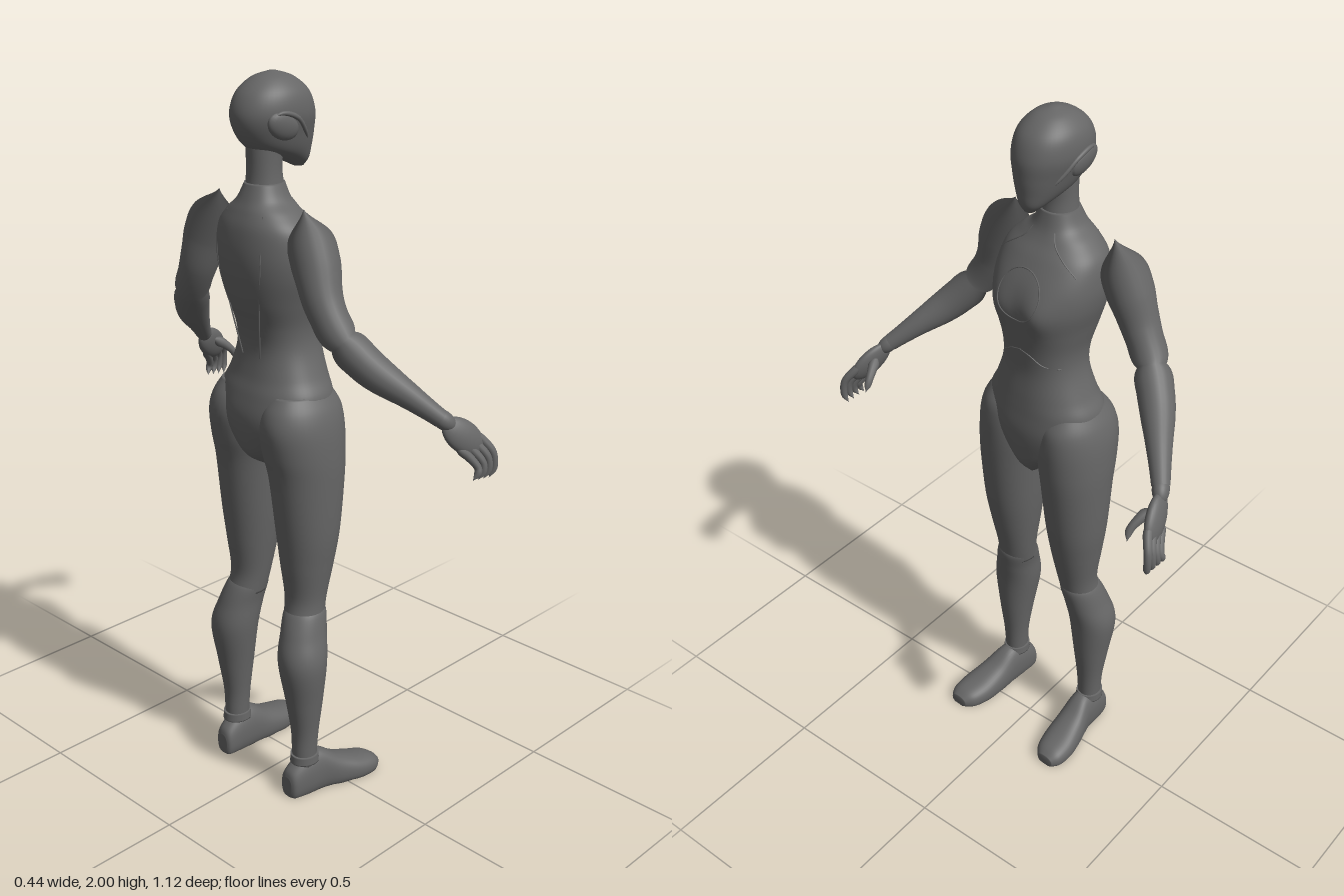
import * as THREE from 'three';

const grey = new THREE.MeshStandardMaterial({ color: 0x666666 });
grey.name = 'matteGrey';

const V = (p) => new THREE.Vector3(...p);

// Catmull-Rom through rows of numbers
function sample(rows, t) {
  const f = t * (rows.length - 1), i = Math.min(Math.floor(f), rows.length - 2), u = f - i;
  const at = (k) => rows[Math.max(0, Math.min(rows.length - 1, k))];
  const [a, b, c, d] = [at(i - 1), at(i), at(i + 1), at(i + 2)];
  return b.map((_, k) => 0.5 * (2 * b[k] + (c[k] - a[k]) * u
    + (2 * a[k] - 5 * b[k] + 4 * c[k] - d[k]) * u * u
    + (3 * b[k] - a[k] - 3 * c[k] + d[k]) * u * u * u));
}

// Closed skin over cross-sections [h, a0, a1, b0, b1]; axis 'y': a = x, b = z; axis 'x': a = y, b = z
function loft(rows, { axis = 'y', n = 2, steps = 6, seg = 40, rule = null } = {}) {
  const rings = (rows.length - 1) * steps, pos = [], idx = [];
  const pw = (v) => Math.sign(v) * Math.pow(Math.abs(v), 2 / n);
  for (let i = -1; i <= rings + 1; i++) {
    const [h, a0, a1, b0, b1] = sample(rows, Math.max(0, Math.min(1, i / rings)));
    const s = i < 0 || i > rings ? 0 : 0.5;
    for (let j = 0; j < seg; j++) {
      const t = (j / seg) * Math.PI * 2;
      const a = (a0 + a1) / 2 + (a1 - a0) * s * pw(Math.cos(t));
      const b = (b0 + b1) / 2 + (b1 - b0) * s * pw(Math.sin(t));
      const p = axis === 'y' ? [a, h, b] : [h, Math.max(0, a), b];
      if (rule) rule(p);
      pos.push(...p);
    }
  }
  for (let i = 0; i < rings + 2; i++) for (let j = 0; j < seg; j++) {
    const p = i * seg + j, q = i * seg + (j + 1) % seg, r = p + seg, s = q + seg;
    if (axis === 'y') idx.push(p, r, s, p, s, q);
    else idx.push(p, s, r, p, q, s);
  }
  const g = new THREE.BufferGeometry();
  g.setAttribute('position', new THREE.Float32BufferAttribute(pos, 3));
  g.setIndex(idx);
  g.computeVertexNormals();
  return g;
}

// Tube whose radius follows a list of values along its length
function limb(points, radii, seg = 24, closed = false) {
  const curve = new THREE.CatmullRomCurve3(points.map(V), closed);
  const len = points.length * 8;
  const g = new THREE.TubeGeometry(curve, len, 1, seg, closed);
  const p = g.attributes.position, nm = g.attributes.normal, c = new THREE.Vector3();
  for (let i = 0; i < p.count; i++) {
    const u = Math.floor(i / (seg + 1)) / len;
    curve.getPointAt(closed ? u % 1 : u, c);
    const r = Math.max(0, sample(radii.map((v) => [v]), u)[0]);
    p.setXYZ(i, c.x + nm.getX(i) * r, c.y + nm.getY(i) * r, c.z + nm.getZ(i) * r);
  }
  return g;
}

// Ellipsoid along three given axes
function ellipsoid(center, along, across, thick) {
  const d = V(along), a = V(across), t = d.clone().cross(a).normalize().multiplyScalar(thick);
  const g = new THREE.SphereGeometry(1, 24, 16);
  g.applyMatrix4(new THREE.Matrix4().makeBasis(d, a, t).setPosition(V(center)));
  return g;
}

function mirrored(geo) {
  const g = geo.clone().scale(1, 1, -1), ix = g.index.array;
  for (let i = 0; i < ix.length; i += 3) [ix[i], ix[i + 1]] = [ix[i + 1], ix[i]];
  return g;
}

// Torso sections: y, back x, front x, half width
const TORSO_N = 2.3;
const torsoRows = [
  [0.955, -0.09, 0.0, 0.012], [1.0, -0.165, 0.036, 0.06], [1.06, -0.19, 0.05, 0.12],
  [1.12, -0.195, 0.055, 0.165], [1.18, -0.183, 0.05, 0.168], [1.23, -0.168, 0.045, 0.143],
  [1.3, -0.156, 0.038, 0.118], [1.36, -0.165, 0.042, 0.115], [1.43, -0.19, 0.052, 0.13],
  [1.5, -0.205, 0.057, 0.148], [1.56, -0.208, 0.042, 0.152], [1.62, -0.2, 0.006, 0.14],
  [1.66, -0.186, -0.025, 0.105], [1.69, -0.172, -0.042, 0.068], [1.73, -0.155, -0.055, 0.048],
].map(([y, b, f, w]) => [y, b, f, -w, w]);
const bust = (y, z) => 0.014 * Math.exp(-(((Math.abs(z) - 0.065) / 0.045) ** 2) - ((y - 1.49) / 0.055) ** 2);

// Point on the torso skin
function onTorso(y, z, front = true) {
  let lo = 0, hi = 1;
  for (let k = 0; k < 30; k++) {
    const m = (lo + hi) / 2;
    if (sample(torsoRows, m)[0] < y) lo = m; else hi = m;
  }
  const [, b, f, , w] = sample(torsoRows, lo);
  const k = Math.pow(Math.max(0, 1 - Math.pow(Math.abs(z) / w, TORSO_N)), 1 / TORSO_N);
  const x = (b + f) / 2 + (front ? 1 : -1) * ((f - b) / 2) * k;
  return [x + (front ? bust(y, z) : 0), y, z];
}

export function createModel() {
  const root = new THREE.Group();
  root.name = 'mannequin';
  const body = new THREE.Group();
  body.name = 'body';
  body.rotation.y = -0.07;
  root.add(body);
  const add = (name, g) => {
    const m = new THREE.Mesh(g, grey);
    m.name = name;
    body.add(m);
  };
  const pair = (name, g) => { add(name + 'Right', g); add(name + 'Left', mirrored(g)); };
  const seam = (pts, closed = false) => limb(pts, [0.002, 0.002], 6, closed);

  // Torso, neck and head
  add('torso', loft(torsoRows, {
    n: TORSO_N, seg: 64,
    rule: (p) => { if (p[0] > -0.06) p[0] += bust(p[1], p[2]) * Math.min(1, (p[0] + 0.06) / 0.06); },
  }));
  add('neck', loft([
    [1.66, -0.165, -0.045, -0.058, 0.058], [1.72, -0.155, -0.055, -0.049, 0.049],
    [1.77, -0.152, -0.06, -0.045, 0.045], [1.84, -0.155, -0.05, -0.046, 0.046],
  ]));
  add('head', loft([
    [1.757, -0.008, 0.02, -0.014, 0.014], [1.778, -0.055, 0.032, -0.036, 0.036],
    [1.81, -0.142, 0.037, -0.059, 0.059], [1.85, -0.182, 0.041, -0.074, 0.074],
    [1.9, -0.195, 0.04, -0.086, 0.086], [1.95, -0.176, 0.02, -0.078, 0.078],
    [1.985, -0.134, -0.022, -0.047, 0.047], [2.0, -0.088, -0.068, -0.008, 0.008],
  ], { n: 2.1, seg: 48 }));
  pair('earPad', ellipsoid([-0.105, 1.875, 0.073], [0.045, -0.02, 0], [0.013, 0.03, 0.006], 0.016));
  pair('cheekRidge', limb([[-0.15, 1.885, 0.07], [-0.12, 1.908, 0.083], [-0.07, 1.895, 0.085],
    [-0.03, 1.855, 0.07], [0.005, 1.81, 0.038]], [0, 0.006, 0.006, 0.005, 0]));

  // Panel lines on the torso
  const ring = [];
  for (let i = 0; i < 24; i++) {
    const t = (i / 24) * Math.PI * 2;
    ring.push(onTorso(1.535 + 0.066 * Math.sin(t), 0.066 * Math.cos(t)));
  }
  add('chestRing', seam(ring, true));
  pair('collarLine', seam([[1.685, 0.035], [1.66, 0.05], [1.63, 0.09], [1.6, 0.125]].map(([y, z]) => onTorso(y, z))));
  pair('ribLine', seam([[1.375, 0], [1.365, 0.03], [1.34, 0.065], [1.33, 0.1]].map(([y, z]) => onTorso(y, z))));
  pair('backLine', seam([[1.66, 0.07], [1.55, 0.085], [1.42, 0.06], [1.28, 0.035]].map(([y, z]) => onTorso(y, z, false))));

  // Legs
  pair('thigh', loft([
    [0.535, -0.14, -0.026, 0.07, 0.178], [0.6, -0.127, -0.014, 0.06, 0.175], [0.7, -0.138, 0.008, 0.045, 0.188],
    [0.8, -0.15, 0.026, 0.033, 0.2], [0.95, -0.168, 0.043, 0.02, 0.206],
    [1.03, -0.186, 0.049, 0.01, 0.206], [1.1, -0.196, 0.05, 0.01, 0.2],
    [1.15, -0.186, 0.043, 0.02, 0.186], [1.19, -0.16, 0.02, 0.045, 0.162],
  ], { n: 2.1 }));
  pair('shin', loft([
    [0.09, -0.138, -0.068, 0.12, 0.184], [0.13, -0.14, -0.068, 0.118, 0.185],
    [0.2, -0.142, -0.064, 0.113, 0.19], [0.3, -0.158, -0.053, 0.1, 0.203],
    [0.42, -0.177, -0.042, 0.082, 0.216], [0.5, -0.16, -0.028, 0.076, 0.196],
    [0.56, -0.135, -0.019, 0.068, 0.178], [0.58, -0.11, -0.03, 0.085, 0.16],
  ], { n: 2.1 }));
  pair('ankleCuff', loft([[0.1, -0.147, -0.06, 0.113, 0.191], [0.125, -0.145, -0.064, 0.114, 0.19]]));
  pair('foot', loft([
    [-0.166, 0.005, 0.06, 0.128, 0.165], [-0.155, -0.015, 0.085, 0.116, 0.18],
    [-0.11, -0.02, 0.118, 0.112, 0.19], [-0.06, -0.02, 0.123, 0.112, 0.195],
    [0, -0.02, 0.086, 0.112, 0.213], [0.06, -0.02, 0.062, 0.117, 0.226],
    [0.11, -0.015, 0.048, 0.132, 0.224], [0.136, -0.002, 0.032, 0.155, 0.208],
  ], { axis: 'x', n: 2.3 }));

  // Arms
  pair('upperArm', limb([
    [-0.12, 1.688, 0.165], [-0.122, 1.63, 0.188], [-0.125, 1.56, 0.217],
    [-0.13, 1.47, 0.252], [-0.118, 1.39, 0.3], [-0.09, 1.345, 0.335],
  ], [0, 0.054, 0.062, 0.055, 0.049, 0.044, 0]));
  pair('forearm', limb([
    [-0.13, 1.42, 0.28], [-0.112, 1.38, 0.308], [-0.07, 1.315, 0.362],
    [0.0, 1.245, 0.43], [0.055, 1.19, 0.482],
  ], [0, 0.045, 0.048, 0.044, 0.036, 0.029, 0.024]));
  pair('wrist', ellipsoid([0.06, 1.186, 0.486], [0.024, -0.023, 0.018], [0.017, 0.017, 0], 0.022));

  // Hands
  pair('palm', ellipsoid([0.108, 1.137, 0.512], [0.048, -0.046, 0.022], [0.032, 0.027, 0], 0.02));
  for (let i = 0; i < 4; i++) {
    const s = i / 3, x = 0.158 - 0.052 * s, y = 1.122 - 0.03 * s;
    pair('finger' + (i + 1), limb([
      [x - 0.025, y + 0.022, 0.512], [x, y, 0.528], [x + 0.022, y - 0.035, 0.548],
      [x + 0.026 - 0.006 * s, 1.045, 0.551], [x + 0.018 - 0.008 * s, 1.015 + 0.008 * s, 0.543],
    ], [0.004, 0.012, 0.012, 0.011, 0.01, 0.009, 0], 12));
  }
  pair('thumb', limb([
    [0.1, 1.155, 0.497], [0.132, 1.135, 0.482], [0.158, 1.108, 0.472], [0.17, 1.078, 0.474],
  ], [0.004, 0.015, 0.013, 0.011, 0.009, 0], 12));

  return root;
}
